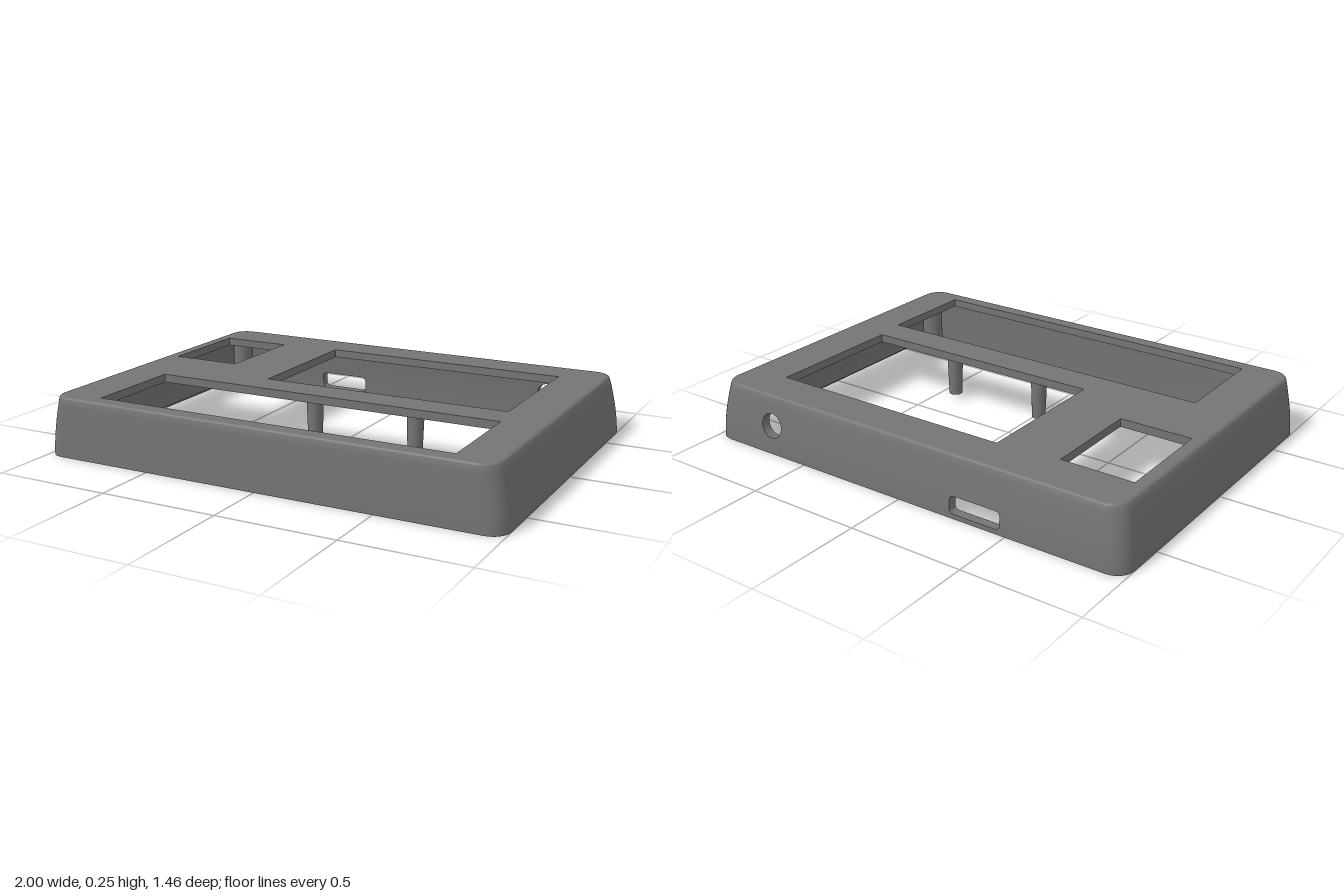
import * as THREE from 'three';
import { toCreasedNormals } from 'three/addons/utils/BufferGeometryUtils.js';

const HEIGHT = 0.255, CEILING = 0.22, LIP = 0.016, WALL = 0.04, RADIUS = 0.075, FILLET = 0.011;

// Bulging draft of the side walls, as a function of height
const draft = (y) => Math.pow(y / 0.25, 1.6);
const halfX = (y) => 1 - 0.04 * draft(y);
const backZ = (y) => -0.732 + 0.027 * draft(y);
const frontZ = (y) => 0.732 - 0.005 * draft(y);

// Back wall panels that carry openings, as [x0, x1]
const SLOT = [-0.49, -0.23], JACK = [0.59, 0.77];
const STEPS = 8;

// Rounded-rectangle outline [x, z] at one height, moved inwards by inset
function outline(y, inset) {
  const r = RADIUS - inset, cx = halfX(y) - RADIUS;
  const zf = frontZ(y) - RADIUS, zb = backZ(y) + RADIUS;
  const pts = [];
  const corner = (x, z, start) => {
    for (let i = 0; i <= STEPS; i++) {
      const a = start + (i / STEPS) * Math.PI / 2;
      pts.push([x + r * Math.cos(a), z + r * Math.sin(a)]);
    }
  };
  corner(cx, zf, 0);
  corner(-cx, zf, Math.PI / 2);
  corner(-cx, zb, Math.PI);
  for (const x of [...SLOT, ...JACK]) pts.push([x, zb - r]);
  corner(cx, zb, 1.5 * Math.PI);
  return pts;
}

// Wall heights shared by the shell and the panels
const levels = [];
for (let i = 0; i <= 6; i++) levels.push(LIP + (CEILING - LIP) * i / 6);

// Hollow wall: inside face, lid rebate, outside face and top fillet
function wallGeometry() {
  const rows = [...levels].reverse().map((y) => [y, WALL]);
  rows.push([LIP, 0.02], [0, 0.02], [0, 0]);
  levels.forEach((y) => rows.push([y, 0]));
  for (let i = 0; i <= 5; i++) {
    const a = (i / 5) * Math.PI / 2;
    rows.push([HEIGHT - FILLET + FILLET * Math.sin(a), FILLET * (1 - Math.cos(a))]);
  }
  const pos = [], index = [];
  const n = outline(0, 0).length;
  rows.forEach(([y, inset]) => outline(y, inset).forEach(([x, z]) => pos.push(x, y, z)));
  const firstBreak = 3 * (STEPS + 1);
  for (let i = 0; i < rows.length - 1; i++) {
    const onFace = rows[i][1] === rows[i + 1][1] &&
      Math.min(rows[i][0], rows[i + 1][0]) >= LIP - 1e-6 &&
      Math.max(rows[i][0], rows[i + 1][0]) <= CEILING + 1e-6;
    for (let j = 0; j < n; j++) {
      // leave room for the two panels with openings
      if (onFace && (j === firstBreak || j === firstBreak + 2)) continue;
      const k = (j + 1) % n;
      const a = i * n + j, b = i * n + k;
      index.push(a, a + n, b, b, a + n, b + n);
    }
  }
  const g = new THREE.BufferGeometry();
  g.setAttribute('position', new THREE.Float32BufferAttribute(pos, 3));
  g.setIndex(index);
  return toCreasedNormals(g, 0.5);
}

// Piece of back wall with an opening, bent to follow the draft
function panelGeometry([x0, x1], hole) {
  const pts = levels.map((y) => new THREE.Vector2(x1, y));
  [...levels].reverse().forEach((y) => pts.push(new THREE.Vector2(x0, y)));
  const shape = new THREE.Shape(pts);
  shape.holes.push(hole);
  const g = new THREE.ExtrudeGeometry(shape, { depth: WALL, bevelEnabled: false, curveSegments: 16 });
  const p = g.attributes.position;
  for (let i = 0; i < p.count; i++) p.setZ(i, p.getZ(i) + backZ(p.getY(i)));
  return toCreasedNormals(g, 0.5);
}

function roundedSlot(x0, x1, y0, y1, r) {
  const p = new THREE.Path();
  p.absarc(x1 - r, y0 + r, r, -Math.PI / 2, 0);
  p.absarc(x1 - r, y1 - r, r, 0, Math.PI / 2);
  p.absarc(x0 + r, y1 - r, r, Math.PI / 2, Math.PI);
  p.absarc(x0 + r, y0 + r, r, Math.PI, 1.5 * Math.PI);
  p.closePath();
  return p;
}

// Top plate with three rectangular windows, given as [x0, x1, z0, z1]
function topGeometry() {
  // counter-clockwise outline, so the window edges face into the openings
  const shape = new THREE.Shape(outline(HEIGHT, FILLET).reverse()
    .map(([x, z]) => new THREE.Vector2(x, -z)));
  const windows = [
    [-0.905, -0.595, -0.512, -0.081],
    [-0.325, 0.765, -0.535, 0.08],
    [-0.763, 0.787, 0.222, 0.658],
  ];
  for (const [x0, x1, z0, z1] of windows) {
    shape.holes.push(new THREE.Path([[x0, z0], [x1, z0], [x1, z1], [x0, z1]]
      .map(([x, z]) => new THREE.Vector2(x, -z))));
  }
  const g = new THREE.ExtrudeGeometry(shape, { depth: HEIGHT - CEILING, bevelEnabled: false });
  return g.rotateX(-Math.PI / 2).translate(0, CEILING, 0);
}

// Hollow post hanging from the ceiling
function postGeometry(tipY, tipR, baseR, bore, boreTop) {
  const profile = [[0, boreTop], [bore, boreTop], [bore, tipY], [tipR, tipY], [baseR, CEILING + 0.01]];
  const g = new THREE.LatheGeometry(profile.map(([r, y]) => new THREE.Vector2(r, y)), 24);
  return toCreasedNormals(g, 0.5);
}

export function createModel() {
  const group = new THREE.Group();
  group.name = 'enclosureCover';
  const grey = new THREE.MeshStandardMaterial({ color: 0x747474 });
  grey.name = 'darkGrey';
  const add = (name, geometry, x = 0, z = 0) => {
    const mesh = new THREE.Mesh(geometry, grey);
    mesh.name = name;
    mesh.position.set(x, 0, z);
    group.add(mesh);
  };

  add('sideWalls', wallGeometry());
  add('topPlate', topGeometry());

  // Openings in the back wall
  add('slotPanel', panelGeometry(SLOT, roundedSlot(-0.475, -0.245, 0.02, 0.093, 0.018)));
  const jack = new THREE.Path();
  jack.absarc(0.677, 0.125, 0.053, 0, Math.PI * 2);
  add('jackPanel', panelGeometry(JACK, jack));

  // Corner screw bosses
  const boss = postGeometry(0.045, 0.046, 0.048, 0.022, 0.16);
  for (const x of [-0.888, 0.88]) for (const z of [-0.61, 0.595]) add('screwBoss', boss, x, z);

  // Slim posts under the bridge between the windows
  const post = postGeometry(0.025, 0.029, 0.036, 0.013, 0.1);
  for (const x of [-0.045, 0.41]) add('supportPost', post, x, 0.168);

  return group;
}
